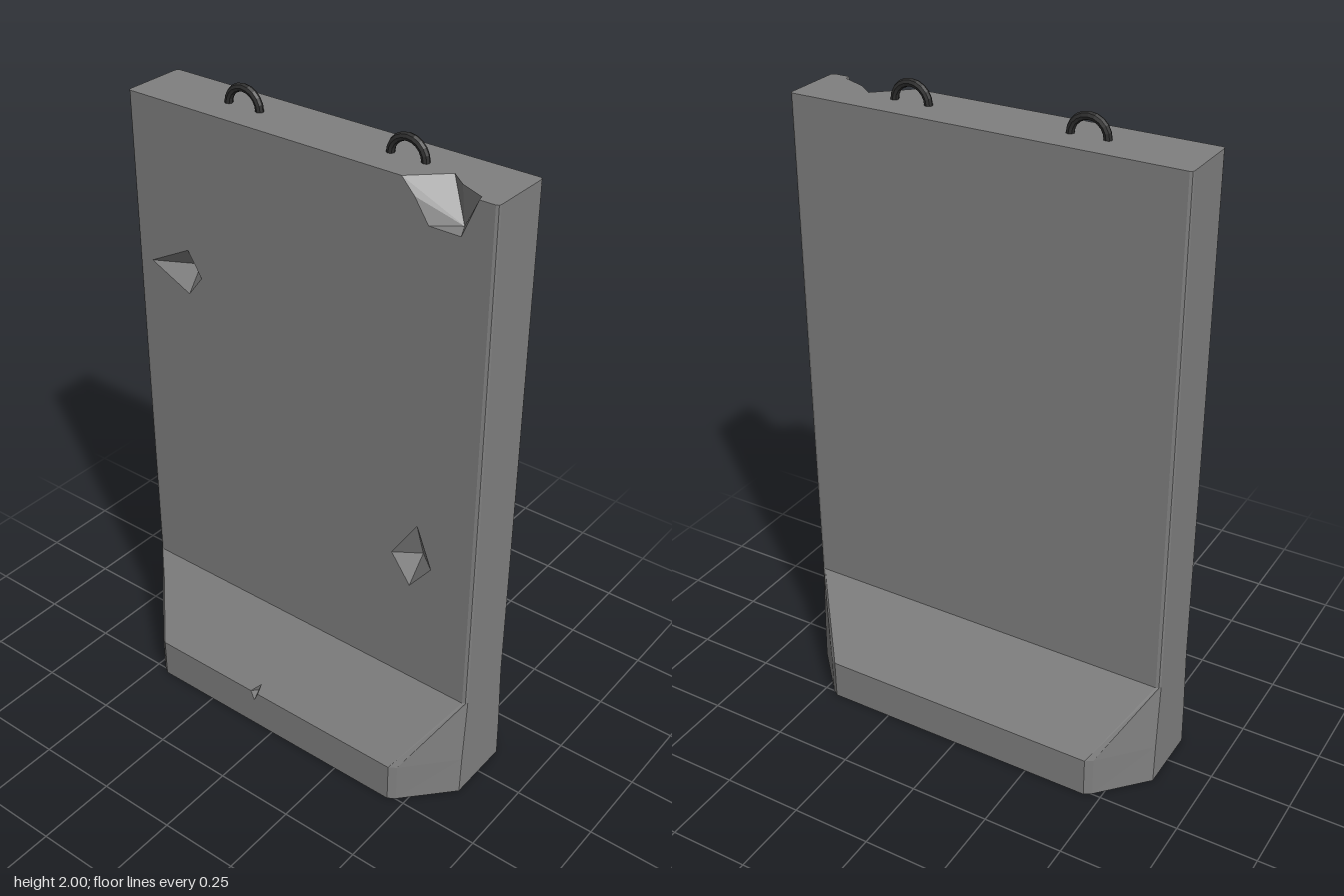
import * as THREE from 'three';

const TOP = 1.935, FOOT = 0.13, SLOPE = 0.35, WALL_Z = 0.1, FOOT_Z = 0.263;

export function createModel() {
  const group = new THREE.Group();
  group.name = 'concreteBarrier';
  const concrete = new THREE.MeshStandardMaterial({ color: 0x808080, flatShading: true, side: THREE.DoubleSide });
  const steel = new THREE.MeshStandardMaterial({ color: 0x2e2e2e, flatShading: true });

  const add = (name, geometry, material = concrete) => {
    const mesh = new THREE.Mesh(geometry, material);
    mesh.name = name;
    group.add(mesh);
    return mesh;
  };
  const fromTriangles = (points) => {
    const g = new THREE.BufferGeometry();
    g.setAttribute('position', new THREE.Float32BufferAttribute(points.flat(), 3));
    g.computeVertexNormals();
    return g;
  };
  const toPath = (pts) => pts.map(([x, y]) => new THREE.Vector2(x, y));

  // Flat panel from an outline with holes, placed in space by a rule
  const panel = (name, outline, holes, place) => {
    const shape = new THREE.Shape(toPath(outline));
    holes.forEach((h) => shape.holes.push(new THREE.Path(toPath(h))));
    const g = new THREE.ShapeGeometry(shape);
    const p = g.attributes.position;
    for (let i = 0; i < p.count; i++) p.setXYZ(i, ...place(p.getX(i), p.getY(i)));
    g.computeVertexNormals();
    return add(name, g);
  };
  // Broken-out dent: a rim joined to one deep point
  const dent = (name, rim, deep) =>
    add(name, fromTriangles(rim.flatMap((p, i) => [p, rim[(i + 1) % rim.length], deep])));

  // Cross-sections: height and one quarter of the outline as [x, z]
  const sections = [
    [0, [[0.604, 0.105], [0.472, 0.248], [0.45, FOOT_Z]]],
    [FOOT, [[0.604, 0.101], [0.472, 0.248], [0.45, FOOT_Z]]],
    [SLOPE, [[0.604, 0.089], [0.6, 0.096], [0.591, WALL_Z]]],
    [1.03, [[0.603, 0.089], [0.6, 0.096], [0.591, WALL_Z]]],
    [TOP, [[0.6, 0.089], [0.598, 0.096], [0.591, WALL_Z]]],
  ];
  const ringOf = ([y, q]) => {
    const r = [...q].reverse();
    return [
      ...q.map(([x, z]) => [x, y, z]), ...r.map(([x, z]) => [-x, y, z]),
      ...q.map(([x, z]) => [-x, y, -z]), ...r.map(([x, z]) => [x, y, -z]),
    ];
  };
  const rings = sections.map(ringOf);

  // Sides and back; the front strip is left for the chipped panels, the base is open
  const skin = [];
  for (let k = 0; k < rings.length - 1; k++) {
    for (let i = 0; i < 12; i++) {
      if (i === 2) continue;
      const j = (i + 1) % 12;
      const a = rings[k][i], b = rings[k][j], A = rings[k + 1][i], B = rings[k + 1][j];
      skin.push(b, a, A, b, A, B);
    }
  }
  add('sidesAndBack', fromTriangles(skin));

  // Front wall with two dents and a broken top edge
  const upperDent = [[-0.55, 1.43], [-0.41, 1.365], [-0.36, 1.43], [-0.408, 1.505]];
  const lowerDent = [[0.325, 0.78], [0.39, 0.69], [0.46, 0.78], [0.408, 0.91]];
  const breakFront = [[0.32, TOP], [0.36, 1.892], [0.405, 1.825], [0.5, 1.825], [0.545, TOP]];
  const breakTop = [[0.54, 0.082], [0.465, 0.05], [0.415, 0.01]];
  const onWall = ([x, y]) => [x, y, WALL_Z];
  panel('frontWall',
    [[-0.591, SLOPE], [0.591, SLOPE], [0.591, TOP], ...[...breakFront].reverse(), [-0.591, TOP]],
    [upperDent, lowerDent], (x, y) => [x, y, WALL_Z]);
  dent('upperDent', upperDent.map(onWall), [-0.405, 1.442, 0.05]);
  dent('lowerDent', lowerDent.map(onWall), [0.4, 0.78, 0.05]);
  dent('brokenTopEdge',
    [...breakFront.map(onWall), ...breakTop.map(([x, z]) => [x, TOP, z])], [0.478, 1.828, 0.052]);

  // Top cap, notched where the edge is broken
  const rim = rings[rings.length - 1].map(([x, , z]) => [x, -z]);
  panel('topCap',
    [...rim.slice(0, 3), [0.545, -WALL_Z], ...breakTop.map(([x, z]) => [x, -z]), [0.32, -WALL_Z], ...rim.slice(3)],
    [], (u, v) => [u, TOP, -v]);

  // Front of the foot: upright face and slope, with a small nick across their edge
  const slopeZ = (y) => FOOT_Z + (WALL_Z - FOOT_Z) * Math.max(0, (y - FOOT) / (SLOPE - FOOT));
  const nick = [[-0.083, FOOT], [-0.07, 0.098], [-0.056, FOOT], [-0.056, 0.157]];
  panel('footFront', [[-0.45, 0], [0.45, 0], [0.45, FOOT], nick[2], nick[1], nick[0], [-0.45, FOOT]],
    [], (x, y) => [x, y, FOOT_Z]);
  panel('footSlope', [[-0.45, FOOT], nick[0], nick[3], nick[2], [0.45, FOOT], [0.591, SLOPE], [-0.591, SLOPE]],
    [], (x, y) => [x, y, slopeZ(y)]);
  dent('footNick', nick.map(([x, y]) => [x, y, slopeZ(y)]), [-0.067, 0.128, 0.243]);

  // Lifting loops
  for (const [side, name] of [[-1, 'rightLiftingLoop'], [1, 'leftLiftingLoop']]) {
    const loop = add(name, new THREE.TorusGeometry(0.054, 0.012, 8, 10, Math.PI), steel);
    loop.position.set(side * 0.268, TOP, 0);
  }
  return group;
}
